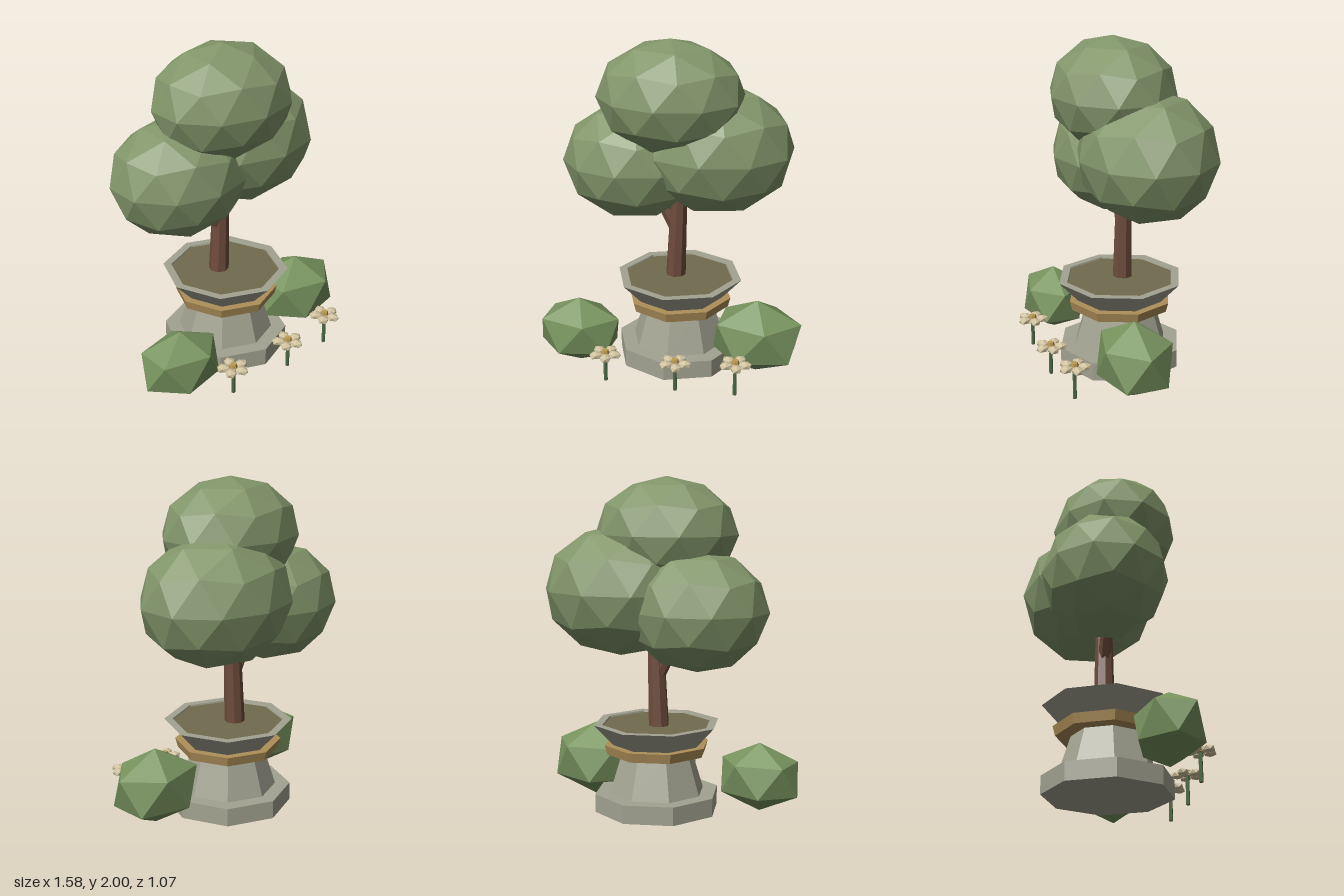
import * as THREE from 'three';

const mat = (name, color) => {
  const m = new THREE.MeshStandardMaterial({ color, flatShading: true });
  m.name = name;
  return m;
};

export function createModel() {
  const leaf = mat('tree leaf green', 0x82966a);
  const bushGreen = mat('bush green', 0x78945f);
  const bark = mat('bark brown', 0x6e4c3d);
  const stone = mat('planter stone', 0xa3a392);
  const soilBrown = mat('soil', 0x716c4e);
  const gold = mat('trim ochre', 0xae8f58);
  const petalCream = mat('petal cream', 0xd0c29e);
  const pollen = mat('flower centre ochre', 0xbd9c55);
  const stemGreen = mat('stem green', 0x4d6b46);

  const model = new THREE.Group();
  const add = (parent, name, geometry, material, x = 0, y = 0, z = 0) => {
    const mesh = new THREE.Mesh(geometry, material);
    mesh.name = name;
    mesh.position.set(x, y, z);
    parent.add(mesh);
    return mesh;
  };

  // Icosphere with a corner straight up and its upper ring starting at +x
  const ico = (detail, rx, ry, rz) =>
    new THREE.IcosahedronGeometry(1, detail)
      .rotateX(-Math.atan((1 + Math.sqrt(5)) / 2))
      .rotateY(Math.PI / 2)
      .scale(rx, ry, rz);

  // Tapered limb between two points
  const limb = (name, from, to, r0, r1, sides) => {
    const a = new THREE.Vector3(...from), b = new THREE.Vector3(...to);
    const dir = b.clone().sub(a);
    const mesh = add(model, name, new THREE.CylinderGeometry(r1, r0, dir.length(), sides), bark);
    mesh.position.copy(a).add(b).multiplyScalar(0.5);
    mesh.quaternion.setFromUnitVectors(new THREE.Vector3(0, 1, 0), dir.normalize());
  };

  // Octagonal planter: foot, pedestal, trim band, flared rim, soil
  const planter = new THREE.Group();
  planter.name = 'planter';
  planter.position.set(0.015, 0, -0.033);
  model.add(planter);
  const ring = (name, rBottom, rTop, y0, y1, material) =>
    add(planter, name, new THREE.CylinderGeometry(rTop, rBottom, y1 - y0, 8), material, 0, (y0 + y1) / 2, 0);
  ring('foot', 0.38, 0.38, 0.01, 0.12, stone);
  ring('pedestal', 0.29, 0.212, 0.12, 0.37, stone);
  ring('trimBand', 0.305, 0.32, 0.358, 0.415, gold);
  const rimProfile = [[0.265, 0.41], [0.385, 0.54], [0.335, 0.54], [0.325, 0.5]]
    .map(([r, y]) => new THREE.Vector2(r, y));
  add(planter, 'rim', new THREE.LatheGeometry(rimProfile, 8), stone);
  ring('soil', 0.28, 0.333, 0.45, 0.53, soilBrown);

  // Trunk and side branch
  limb('trunk', [-0.016, 0.5, -0.06], [0.012, 1.2, -0.06], 0.062, 0.046, 8);
  limb('branch', [0, 0.8, -0.06], [-0.15, 1.08, -0.06], 0.038, 0.032, 6);

  // Tree crown: centre, radii
  [
    ['crownTop', [-0.0325, 1.664, -0.005], [0.44, 0.336, 0.372]],
    ['crownLeft', [0.205, 1.335, -0.13], [0.475, 0.39, 0.41]],
    ['crownRight', [-0.29, 1.236, -0.09], [0.425, 0.356, 0.37]],
  ].forEach(([name, c, r]) => add(model, name, ico(1, ...r), leaf, ...c));

  // Bushes
  add(model, 'bushLeft', ico(0, 0.3, 0.232, 0.238), bushGreen, 0.52, 0.232, 0.0625);
  add(model, 'bushRight', ico(0, 0.277, 0.208, 0.21), bushGreen, -0.5475, 0.22, 0.222);

  // Flowers with five petals
  [[-0.32, 0.185, 0.43], [0.11, 0.188, 0.44], [0.46, 0.21, 0.403]].forEach(([x, y, z]) => {
    const flower = new THREE.Group();
    flower.name = 'flower';
    flower.position.set(x, 0, z);
    model.add(flower);
    add(flower, 'stem', new THREE.CylinderGeometry(0.011, 0.012, y - 0.01, 6), stemGreen, 0, (y + 0.01) / 2, 0);
    for (let i = 0; i < 5; i++) {
      const a = (i * Math.PI * 2) / 5;
      const petal = add(flower, 'petal', ico(0, 0.043, 0.024, 0.036), petalCream,
        Math.cos(a) * 0.058, y, Math.sin(a) * 0.058);
      petal.rotation.y = -a;
    }
    add(flower, 'flowerCentre', new THREE.CylinderGeometry(0.02, 0.026, 0.034, 6), pollen, 0, y + 0.01, 0);
  });

  return model;
}
